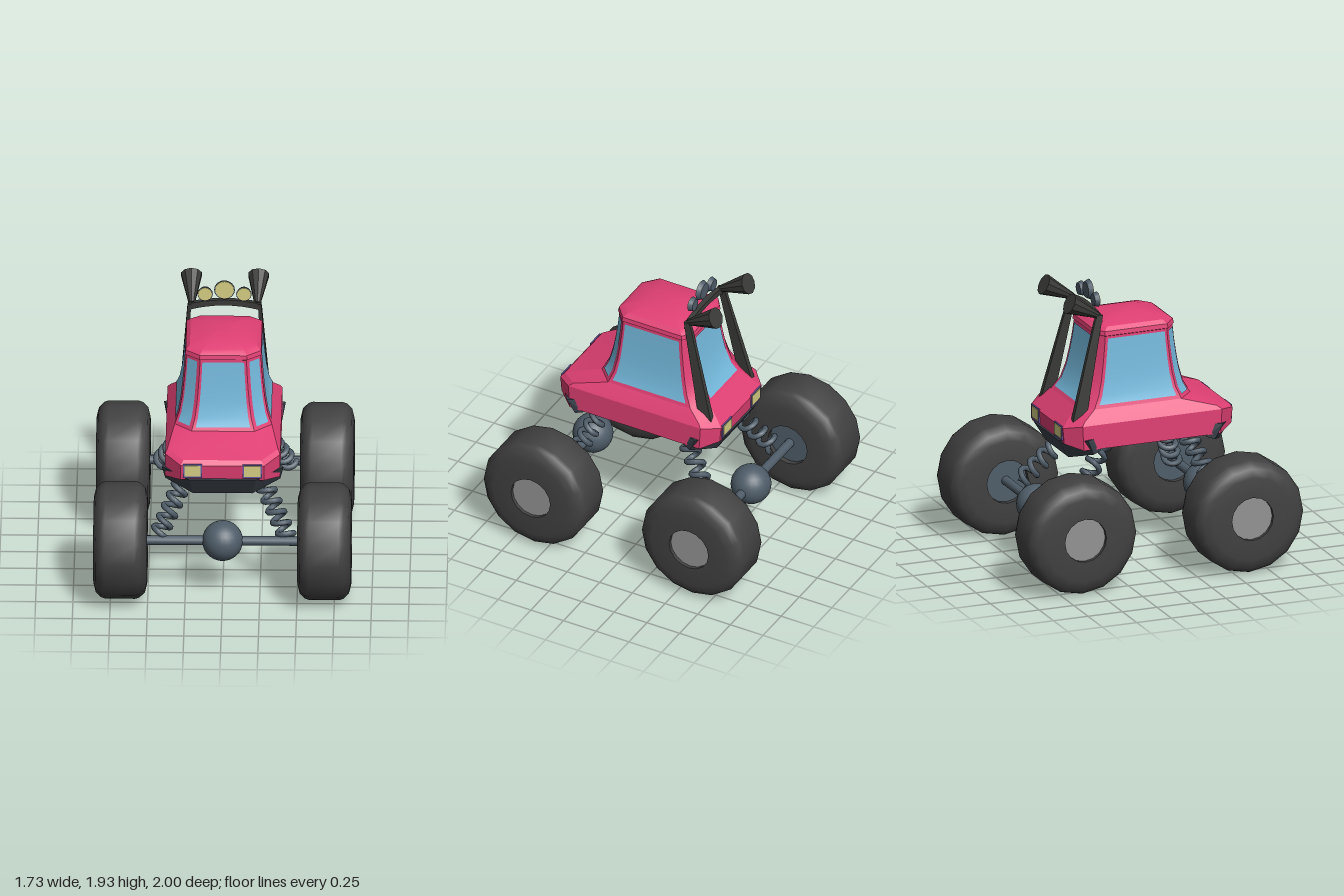
import * as THREE from 'three';
import { toCreasedNormals } from 'three/addons/utils/BufferGeometryUtils.js';

const mat = (name, color, side = THREE.FrontSide) => {
  const m = new THREE.MeshStandardMaterial({ color, side });
  m.name = name;
  return m;
};

// Skin closed rings of points (counter-clockwise seen from the end of the loft), capped at both ends
function loft(rings, crease = 0.45) {
  const n = rings[0].length, pos = [], idx = [];
  rings.forEach(r => r.forEach(p => pos.push(...p)));
  for (let k = 0; k < rings.length - 1; k++)
    for (let i = 0; i < n; i++) {
      const a = k * n + i, b = k * n + (i + 1) % n;
      idx.push(a, b, b + n, a, b + n, a + n);
    }
  const top = (rings.length - 1) * n;
  for (let i = 1; i < n - 1; i++) idx.push(0, i + 1, i, top, top + i, top + i + 1);
  const g = new THREE.BufferGeometry();
  g.setAttribute('position', new THREE.Float32BufferAttribute(pos, 3));
  g.setIndex(idx);
  return toCreasedNormals(g, crease);
}

// Eight-sided ring, mirrored in x: front corner, side front, side rear, rear corner
const ring8 = (xf, zf, yf, hx, zs, zr, ys, xb, zb, yb) => {
  const h = [[xf, yf, zf], [hx, ys, zs], [hx, ys, zr], [xb, yb, zb]];
  return [...h, ...h.slice().reverse().map(([x, y, z]) => [-x, y, z])];
};

// Cabin outline at height y, flaring towards the base
const levels = [1.12, 1.2, 1.3, 1.4, 1.5, 1.6], flare = [1, 0.6, 0.36, 0.21, 0.09, 0];
function cabinRing(y, s = 1, h = y) {
  let k = 0;
  while (k < 4 && y > levels[k + 1]) k++;
  const f = THREE.MathUtils.lerp(flare[k], flare[k + 1], Math.min(1, (y - levels[k]) / (levels[k + 1] - levels[k])));
  const m = (top, base) => top + (base - top) * f;
  return ring8(m(0.155, 0.21), m(0.315, 0.42), h, m(0.25, 0.325), m(0.235, 0.31), m(-0.21, -0.32), h,
    m(0.18, 0.22), m(-0.26, -0.41), h).map(([x, yy, z]) => [x * s, yy, 0.02 + (z - 0.02) * s]);
}

// Curved window lying just outside one face of the cabin
function windowPanel(i, margin) {
  const ys = [1.145, 1.2, 1.3, 1.4, 1.5, 1.585], pos = [], idx = [];
  ys.forEach((y, k) => {
    const r = cabinRing(y), a = new THREE.Vector3(...r[i]), b = new THREE.Vector3(...r[(i + 1) % 8]);
    const out = b.clone().sub(a).cross(new THREE.Vector3(0, 1, 0)).normalize().multiplyScalar(0.006);
    for (const u of [margin, 1 - margin]) pos.push(...a.clone().lerp(b, u).add(out).toArray());
    if (k) idx.push(2 * k - 2, 2 * k - 1, 2 * k + 1, 2 * k - 2, 2 * k + 1, 2 * k);
  });
  const g = new THREE.BufferGeometry();
  g.setAttribute('position', new THREE.Float32BufferAttribute(pos, 3));
  g.setIndex(idx);
  g.computeVertexNormals();
  return g;
}

class Helix extends THREE.Curve {
  constructor(radius, length, turns) { super(); Object.assign(this, { radius, length, turns }); }
  getPoint(t, v = new THREE.Vector3()) {
    const a = t * this.turns * Math.PI * 2;
    return v.set(Math.cos(a) * this.radius, (t - 0.5) * this.length, Math.sin(a) * this.radius);
  }
}

export function createModel() {
  const group = new THREE.Group();
  const paint = mat('pink paint', 0xe04074), glass = mat('blue glass', 0x74b9dc, THREE.DoubleSide);
  const rubber = mat('tyre rubber', 0x414141), hub = mat('hub grey', 0x939393), steel = mat('slate steel', 0x4f5d69);
  const trim = mat('bumper grey', 0x3b424b), bar = mat('bar black', 0x3a3a38);
  const lens = mat('lamp yellow', 0xd6cf85), rim = mat('lamp rim purple', 0x6b5ca5);
  const add = (name, geo, material, x = 0, y = 0, z = 0, parent = group) => {
    const m = new THREE.Mesh(geo, material);
    m.name = name;
    m.position.set(x, y, z);
    parent.add(m);
    return m;
  };

  // Lower body
  add('lowerBody', loft([
    ring8(0.22, 0.52, 0.85, 0.33, 0.45, -0.22, 0.85, 0.22, -0.32, 0.85),
    ring8(0.28, 0.69, 0.89, 0.385, 0.57, -0.42, 0.86, 0.28, -0.52, 0.89),
    ring8(0.28, 0.7, 1.0, 0.385, 0.58, -0.43, 1.03, 0.28, -0.53, 1.0),
    ring8(0.26, 0.675, 1.03, 0.37, 0.55, -0.41, 1.055, 0.26, -0.5, 1.03),
    cabinRing(1.12),
  ], 0.25), paint);

  // Cabin with domed roof
  add('cabin', loft([
    ...levels.map(y => cabinRing(y)),
    cabinRing(1.6, 1.03, 1.605), cabinRing(1.6, 1.01, 1.635), cabinRing(1.6, 0.9, 1.66),
    cabinRing(1.6, 0.55, 1.688), cabinRing(1.6, 0.2, 1.7),
  ], 0.4), paint);

  // Windows
  [['windshield', 7, 0.05], ['leftCornerWindow', 0, 0.16], ['rightCornerWindow', 6, 0.16],
    ['leftSideWindow', 1, 0.04], ['rightSideWindow', 5, 0.04], ['rearWindow', 3, 0.07]]
    .forEach(([name, i, m]) => add(name, windowPanel(i, m), glass));

  // Bumpers: a four-sided section at each bend
  const section = (s, x, xl, z, zl, y, yl) => [
    [s * x, y, z], [s * xl, yl, zl], [s * xl * 0.97, yl + 0.02, zl - 0.06], [s * x * 0.92, y, z - 0.07]];
  const end = s => section(s, 0.408, 0.385, 0.58, 0.53, 0.935, 0.825);
  const mid = s => section(s, 0.22, 0.2, 0.715, 0.635, 0.9, 0.765);
  const bumper = loft([end(-1), mid(-1), mid(1), end(1)], 0.3);
  add('frontBumper', bumper, trim);
  add('rearBumper', bumper, trim, 0, 0, 0.18).rotation.y = Math.PI;

  // Lamps set in the front and rear faces
  for (const x of [-0.2, 0.2])
    for (const [end, z, d] of [['front', 0.699, 1], ['rear', -0.529, -1]]) {
      add(end + 'LampRim', new THREE.BoxGeometry(0.13, 0.1, 0.009), rim, x, 0.96, z);
      add(end + 'LampLens', new THREE.BoxGeometry(0.11, 0.078, 0.009), lens, x, 0.963, z + d * 0.004);
    }

  // Wheels, axles and differentials
  const tyre = new THREE.LatheGeometry([[0.15, -0.14], [0.15, -0.18], [0.29, -0.18], [0.35, -0.165], [0.385, -0.13],
    [0.395, -0.1], [0.395, 0.1], [0.385, 0.13], [0.35, 0.165], [0.29, 0.18], [0.15, 0.18], [0.15, 0.14]]
    .map(p => new THREE.Vector2(...p)), 16);
  const tyreGeo = toCreasedNormals(tyre, 0.6);
  const disc = new THREE.CylinderGeometry(0.152, 0.152, 0.03, 16);
  for (const z of [0.605, -0.605]) {
    for (const s of [1, -1]) {
      const wheel = new THREE.Group();
      wheel.name = 'wheel';
      wheel.position.set(s * 0.683, 0.395, z);
      wheel.rotation.z = -s * Math.PI / 2;
      group.add(wheel);
      add('tyre', tyreGeo, rubber, 0, 0, 0, wheel);
      add('outerHub', disc, hub, 0, 0.14, 0, wheel);
      add('innerHub', disc, steel, 0, -0.13, 0, wheel);
    }
    add('axle', new THREE.CylinderGeometry(0.032, 0.032, 1.1, 12), steel, 0, 0.395, z).rotation.z = Math.PI / 2;
    add('differential', new THREE.SphereGeometry(0.137, 24, 16), steel, 0, 0.395, z);
  }

  // Coil springs from the axles up to the underside
  for (const s of [1, -1])
    for (const [zLow, zHigh] of [[0.56, 0.38], [-0.55, -0.21]]) {
      const a = new THREE.Vector3(s * 0.43, 0.41, zLow), b = new THREE.Vector3(s * 0.22, 0.85, zHigh);
      const dir = b.clone().sub(a), c = a.clone().add(b).multiplyScalar(0.5);
      const coil = new Helix(0.052, dir.length(), 6.5);
      add('spring', new THREE.TubeGeometry(coil, 110, 0.02, 7), steel, c.x, c.y, c.z)
        .quaternion.setFromUnitVectors(new THREE.Vector3(0, 1, 0), dir.normalize());
    }

  // Roll bar legs and horns
  const quad = (s, x0, x1, z0, z1, y) => {
    const [a, b] = s > 0 ? [x0, x1] : [-x1, -x0];
    return [[a, y, z1], [b, y, z1], [b, y, z0], [a, y, z0]];
  };
  for (const s of [1, -1]) {
    add('rollBarLeg', loft([quad(s, 0.26, 0.3, -0.465, -0.37, 1.04), quad(s, 0.225, 0.25, -0.285, -0.235, 1.71),
      quad(s, 0.222, 0.245, -0.265, -0.225, 1.75)], 0.1), bar);
    const a = new THREE.Vector3(s * 0.22, 1.745, -0.25), b = new THREE.Vector3(s * 0.225, 1.855, -0.46);
    const dir = b.clone().sub(a), c = a.clone().add(b).multiplyScalar(0.5);
    add('horn', toCreasedNormals(new THREE.CylinderGeometry(0.073, 0.022, dir.length(), 10), 0.3), bar, c.x, c.y, c.z)
      .quaternion.setFromUnitVectors(new THREE.Vector3(0, 1, 0), dir.normalize());
  }

  // Arched crossbar
  const arch = new THREE.Shape();
  arch.moveTo(-0.25, 1.7);
  arch.quadraticCurveTo(0, 1.775, 0.25, 1.7);
  arch.lineTo(0.235, 1.75);
  arch.quadraticCurveTo(0, 1.805, -0.235, 1.75);
  add('crossbar', new THREE.ExtrudeGeometry(arch, { depth: 0.035, bevelEnabled: false, curveSegments: 8 }), bar, 0, 0, -0.265);

  // Spotlights on the crossbar
  for (const [x, y, r] of [[0, 1.86, 0.07], [-0.13, 1.828, 0.052], [0.13, 1.828, 0.052]]) {
    add('spotlightHousing', new THREE.CylinderGeometry(r, r * 0.8, 0.03, 16), steel, x, y, -0.235).rotation.x = Math.PI / 2;
    add('spotlightLens', new THREE.CylinderGeometry(r * 0.9, r * 0.9, 0.008, 16), lens, x, y, -0.219).rotation.x = Math.PI / 2;
  }
  return group;
}
